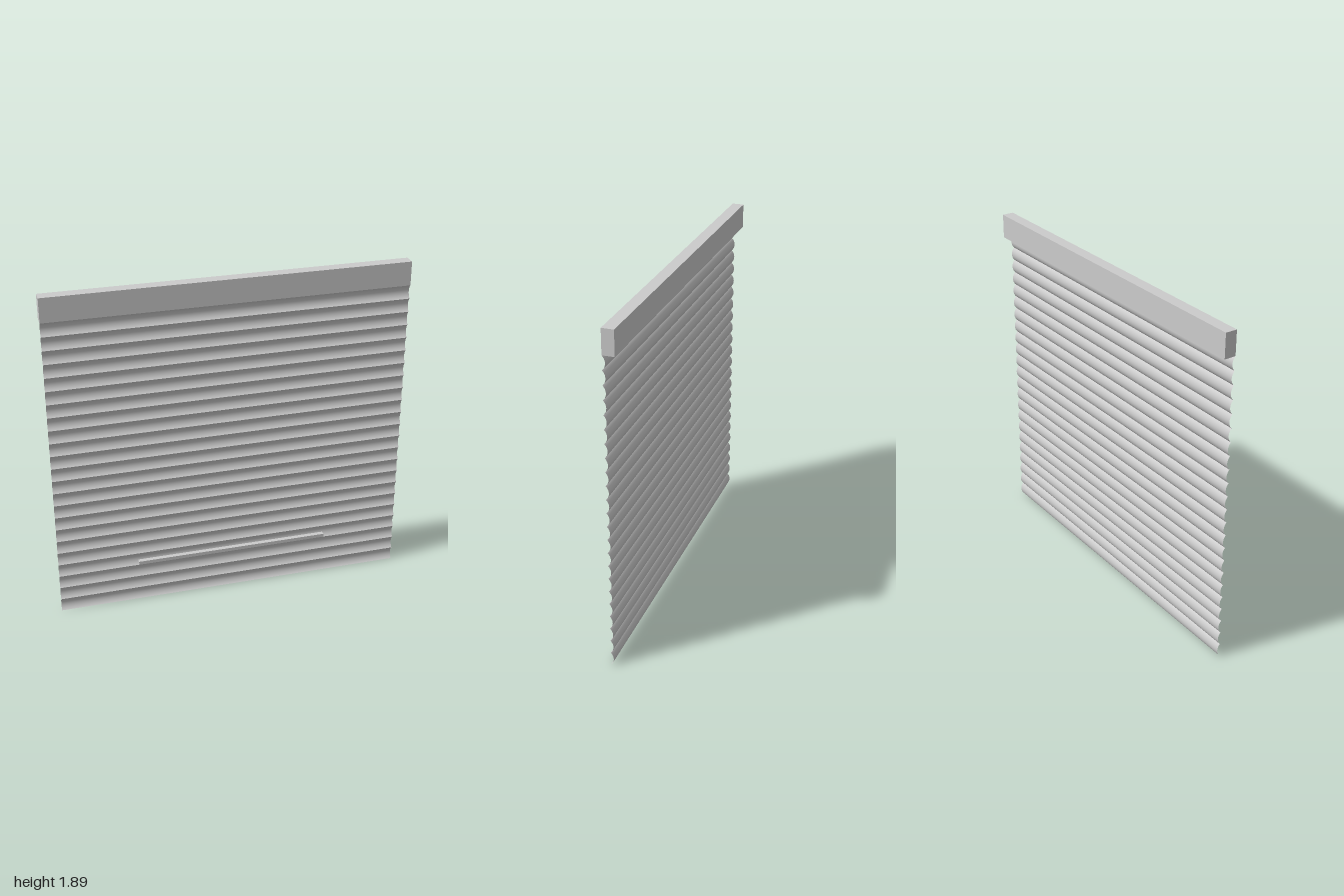
import * as THREE from 'three';

const material = new THREE.MeshStandardMaterial({ color: 0xcccccc });
const sheetMaterial = new THREE.MeshStandardMaterial({ color: 0xcccccc, side: THREE.DoubleSide });

const WIDTH = 2;
const SLATS = 23;
const CURTAIN_HEIGHT = 1.755;
const FRONT_Z = 0.02;
const SAG = 0.016;

function box(name, w, h, d, y, z) {
  const mesh = new THREE.Mesh(new THREE.BoxGeometry(w, h, d), material);
  mesh.name = name;
  mesh.position.set(0, y, z);
  return mesh;
}

// One slat: a thin sheet bowed backwards along a circular arc
function slatGeometry(pitch) {
  const segments = 10;
  const geometry = new THREE.PlaneGeometry(WIDTH, pitch, 1, segments);
  const radius = (pitch * pitch / 4 + SAG * SAG) / (2 * SAG);
  const halfAngle = Math.asin(pitch / 2 / radius);
  const { position, normal } = geometry.attributes;
  for (let i = 0; i < position.count; i++) {
    const a = (position.getY(i) / (pitch / 2)) * halfAngle;
    position.setY(i, radius * Math.sin(a));
    position.setZ(i, radius - SAG - radius * Math.cos(a));
    normal.setXYZ(i, 0, -Math.sin(a), Math.cos(a));
  }
  return geometry;
}

export function createModel() {
  const model = new THREE.Group();
  model.name = 'rollerShutter';

  // Housing across the top
  model.add(box('housing', WIDTH, 0.135, 0.065, 1.8225, -0.0125));

  // Curtain of identical slats with sharp ridges between them
  const curtain = new THREE.Group();
  curtain.name = 'curtain';
  const pitch = CURTAIN_HEIGHT / SLATS;
  const geometry = slatGeometry(pitch);
  for (let i = 0; i < SLATS; i++) {
    const slat = new THREE.Mesh(geometry, sheetMaterial);
    slat.name = 'slat';
    slat.position.set(0, (i + 0.5) * pitch, FRONT_Z);
    curtain.add(slat);
  }
  model.add(curtain);

  // Pull bar near the bottom
  model.add(box('pullBar', 1.1, 0.02, 0.025, 0.255, 0.0325));

  return model;
}
